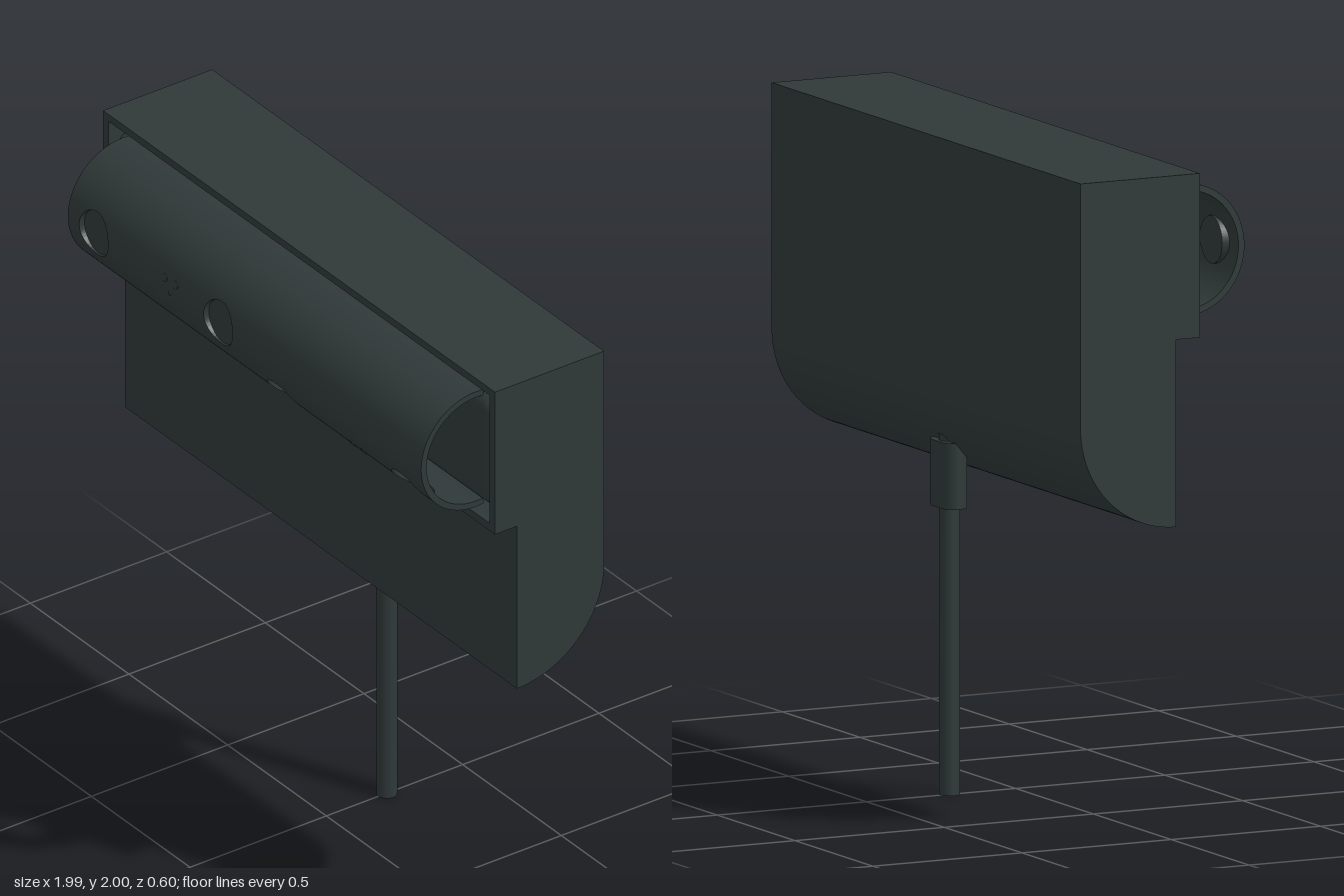
import * as THREE from 'three';
import { toCreasedNormals } from 'three/addons/utils/BufferGeometryUtils.js';
import { RoundedBoxGeometry } from 'three/addons/geometries/RoundedBoxGeometry.js';

const W = 0.993, END = 0.028;           // half width of housing, end plate thickness
const CY = 1.753, CZ = 0.1, R = 0.2, RI = 0.18, HALF = 0.895; // half-tube cover

const HOLES = [
  { x: -0.765, a: 0 }, { x: -0.135, a: 0 },
  { x: 0.13, a: -Math.PI / 4 }, { x: 0.76, a: -Math.PI / 4 },
].map((h) => ({ ...h, r: 0.073 }));

// Side profile of the housing, drawn with u = -z
function housingProfile(trough) {
  const s = new THREE.Shape();
  s.moveTo(-0.1, 1.505);
  s.lineTo(-0.02, 1.505);
  s.lineTo(-0.02, 0.94);
  s.absarc(-0.02, 1.26, 0.32, -Math.PI / 2, 0, false);
  s.lineTo(0.3, 2);
  s.lineTo(-0.1, 2);
  if (trough) s.absarc(-0.1, CY, 0.2225, Math.PI / 2, -Math.PI / 2, true);
  s.closePath();
  return s;
}

function housingPart(trough, width, x) {
  const g = new THREE.ExtrudeGeometry(housingProfile(trough), { depth: width, bevelEnabled: false, curveSegments: 32 });
  g.translate(0, 0, -width / 2).rotateY(Math.PI / 2).translate(x, 0, 0);
  return toCreasedNormals(g, 0.5);
}

// Curved shell made of angular slices, each one interrupted where it meets a hole
function coverGeometry() {
  const pos = [], nor = [];
  const at = (x, a, r) => new THREE.Vector3(x, CY + r * Math.sin(a), CZ + r * Math.cos(a));
  const quad = (p, normals) => [0, 1, 2, 0, 2, 3].forEach((i) => {
    pos.push(...p[i].toArray());
    nor.push(...normals[i].toArray());
  });
  const flat = (p) => {
    const n = p[1].clone().sub(p[0]).cross(p[2].clone().sub(p[0])).normalize();
    quad(p, [n, n, n, n]);
  };
  const radial = (a, s) => new THREE.Vector3(0, s * Math.sin(a), s * Math.cos(a));

  const end = 1.72, angles = [];
  for (let i = 0; i <= 48; i++) angles.push(-end + (2 * end * i) / 48);
  for (const h of HOLES) {
    const d = Math.asin(h.r / R);
    for (let i = 0; i <= 20; i++) angles.push(h.a - d * Math.cos((Math.PI * i) / 20));
  }
  angles.sort((a, b) => a - b);
  const cuts = angles.filter((a, i) => i === 0 || a - angles[i - 1] > 1e-5);

  const chord = (h, a) => Math.sqrt(Math.max(0, h.r ** 2 - (R * Math.sin(a - h.a)) ** 2));
  for (let i = 0; i < cuts.length - 1; i++) {
    const a = cuts[i], b = cuts[i + 1], mid = (a + b) / 2;
    const hit = HOLES.filter((h) => Math.abs(mid - h.a) < Math.asin(h.r / R));
    let left = [-HALF, -HALF];
    const spans = hit.map((h) => {
      const ca = chord(h, a), cb = chord(h, b);
      const span = [left, [h.x - ca, h.x - cb]];
      left = [h.x + ca, h.x + cb];
      return span;
    });
    spans.push([left, [HALF, HALF]]);
    for (const [l, r] of spans) {
      const o = [at(l[0], a, R), at(r[0], a, R), at(r[1], b, R), at(l[1], b, R)];
      const n = [at(l[0], a, RI), at(r[0], a, RI), at(r[1], b, RI), at(l[1], b, RI)];
      quad(o, [radial(a, 1), radial(a, 1), radial(b, 1), radial(b, 1)]);
      quad([n[3], n[2], n[1], n[0]], [radial(b, -1), radial(b, -1), radial(a, -1), radial(a, -1)]);
      flat([o[1], n[1], n[2], o[2]]);
      flat([n[0], o[0], o[3], n[3]]);
    }
  }
  const g = new THREE.BufferGeometry();
  g.setAttribute('position', new THREE.Float32BufferAttribute(pos, 3));
  g.setAttribute('normal', new THREE.Float32BufferAttribute(nor, 3));
  return g;
}

export function createModel() {
  const model = new THREE.Group();
  const casing = new THREE.MeshStandardMaterial({ color: 0x2f3838 });
  casing.name = 'darkCasing';
  const shellMaterial = new THREE.MeshStandardMaterial({ color: 0x2f3838, side: THREE.DoubleSide });
  shellMaterial.name = 'darkCover';

  const add = (name, geometry, material = casing) => {
    const mesh = new THREE.Mesh(geometry, material);
    mesh.name = name;
    model.add(mesh);
    return mesh;
  };

  // Housing with a concave trough, closed by two end plates
  add('housing', housingPart(true, 2 * (W - END), 0));
  for (const side of [-1, 1]) {
    add(side > 0 ? 'leftEndPlate' : 'rightEndPlate', housingPart(false, END, side * (W - END / 2)));
  }

  // Rounded core inside the trough and the curved cover in front of it
  add('core', new RoundedBoxGeometry(1.92, 0.38, 0.1, 5, 0.045).translate(0, CY, 0.04));
  add('cover', coverGeometry(), shellMaterial);

  // Short cylinder pointing outwards from the cover axis
  const disc = (name, x, angle, radius, depth, front) => {
    const g = new THREE.CylinderGeometry(radius, radius, depth, 32);
    g.rotateX(Math.PI / 2).translate(0, 0, front - depth / 2).rotateX(-angle).translate(x, CY, CZ);
    add(name, g);
  };
  for (const h of HOLES.filter((o) => o.a === 0)) disc('lens', h.x, 0, 0.072, 0.025, 0.181);

  // Clusters of three small sensor dots
  for (const [x, a] of [[-0.38, 0], [0.52, -Math.PI / 4]]) {
    disc('sensorDot', x - 0.027, a + 0.13, 0.013, 0.008, 0.202);
    disc('sensorDot', x + 0.027, a + 0.13, 0.013, 0.008, 0.202);
    disc('sensorDot', x, a - 0.08, 0.006, 0.008, 0.202);
  }

  // Cable collar with rounded ends, and the cable
  const stadium = new THREE.Shape();
  stadium.absarc(0.032, 0, 0.04, -Math.PI / 2, Math.PI / 2, false);
  stadium.absarc(-0.032, 0, 0.04, Math.PI / 2, Math.PI * 1.5, false);
  const collar = new THREE.ExtrudeGeometry(stadium, { depth: 0.2, bevelEnabled: false, curveSegments: 16 });
  collar.rotateX(-Math.PI / 2).translate(0, 0.87, -0.225);
  add('cableCollar', toCreasedNormals(collar, 0.6));
  add('cable', new THREE.CylinderGeometry(0.031, 0.031, 1.09, 32).translate(0, 0.545, -0.222));

  return model;
}
